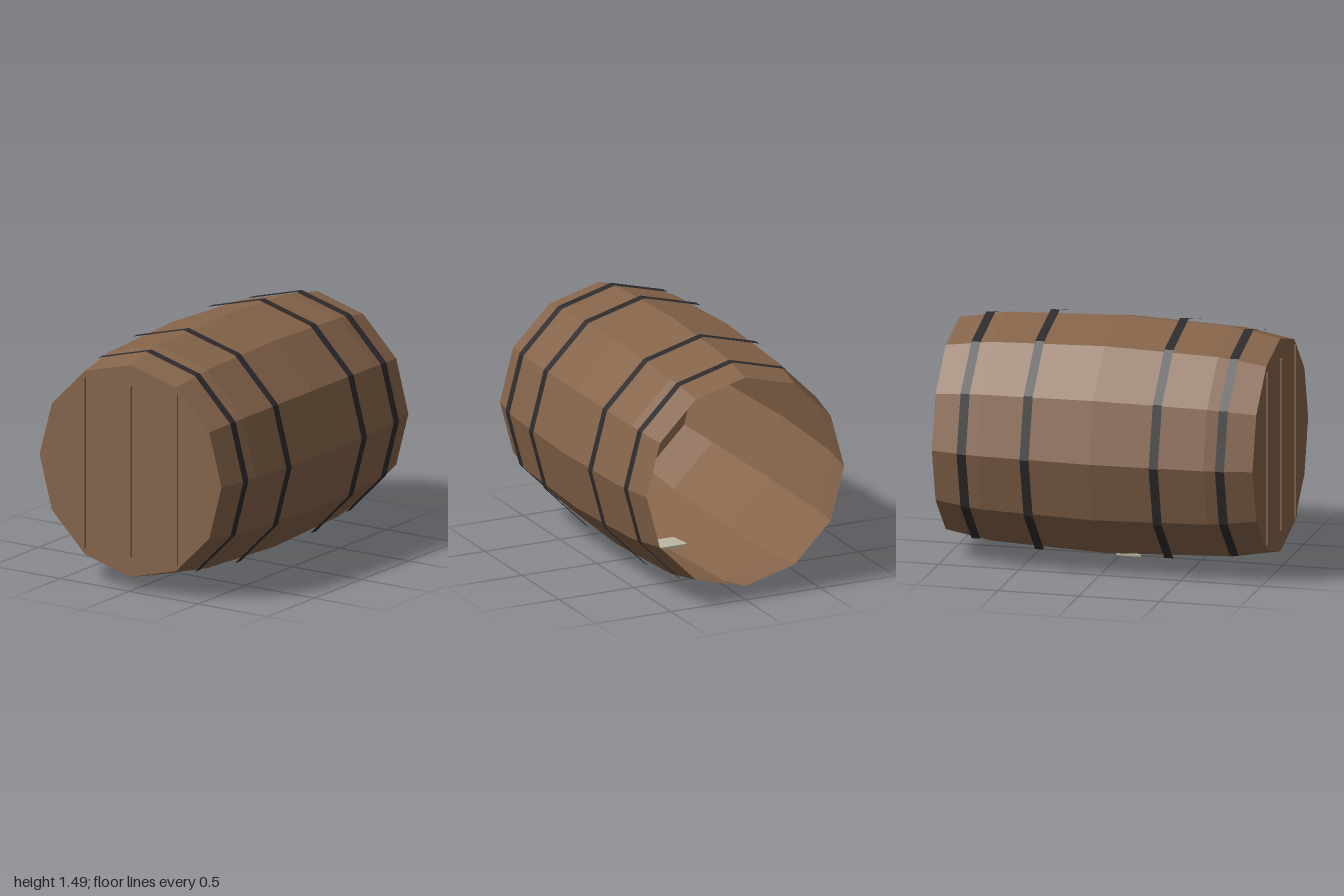
import * as THREE from 'three';

export function createModel() {
  const wood = new THREE.MeshStandardMaterial({ color: 0x85644a, flatShading: true, side: THREE.DoubleSide });
  wood.name = 'wood';
  const iron = new THREE.MeshStandardMaterial({ color: 0x2e2b2d, flatShading: true });
  iron.name = 'dark iron';
  const pale = new THREE.MeshStandardMaterial({ color: 0xbdb8a4 });
  pale.name = 'pale plate';

  const SIDES = 12, AXIS_Y = 0.746, MID_Z = -0.006;
  const model = new THREE.Group();
  model.name = 'barrel';

  const add = (name, geometry, material, x, y, z) => {
    const mesh = new THREE.Mesh(geometry, material);
    mesh.name = name;
    mesh.position.set(x, y, z);
    model.add(mesh);
    return mesh;
  };

  // Bulging staves, open at the back
  const profile = [[0.66, -0.993], [0.712, -0.7], [0.74, 0], [0.712, 0.7], [0.66, 0.993]]
    .map(([r, h]) => new THREE.Vector2(r, h));
  add('staves', new THREE.LatheGeometry(profile, SIDES).rotateX(Math.PI / 2), wood, 0, AXIS_Y, MID_Z);

  // Front lid with three raised strips
  add('lid', new THREE.CircleGeometry(0.66, SIDES), wood, 0, AXIS_Y, MID_Z + 0.993);
  for (const x of [-0.335, 0, 0.335]) {
    add('lidStrip', new THREE.BoxGeometry(0.02, 1.065, 0.02), wood, x, AXIS_Y, 0.99);
  }

  // Hoops: thin open rings standing just off the staves
  for (const [z, r] of [[0.4, 0.746], [0.8, 0.705]]) {
    for (const side of [-1, 1]) {
      const ring = new THREE.CylinderGeometry(r, r, 0.056, SIDES, 1, true).rotateX(Math.PI / 2);
      add('hoop', ring, iron, 0, AXIS_Y, MID_Z + side * z);
    }
  }

  // Small plate set through the bottom staves
  add('bottomPlate', new THREE.BoxGeometry(0.205, 0.014, 0.15), pale, 0, 0.028, 0.073);

  return model;
}
